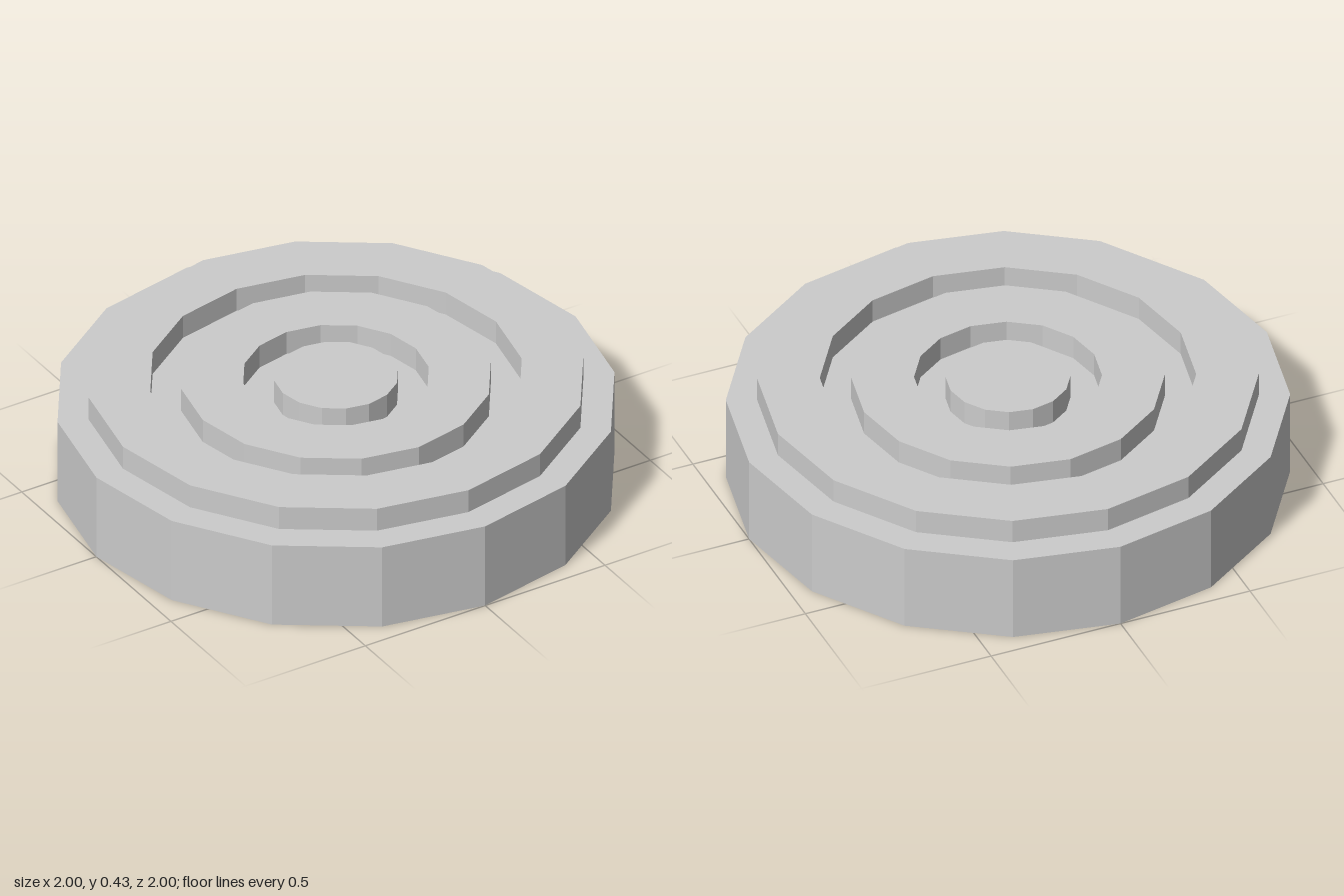
import * as THREE from 'three';

const SIDES = 16;
const BASE_TOP = 0.333;
const RING_TOP = 0.425;
const RING_HEIGHT = RING_TOP - BASE_TOP;

export function createModel() {
  const group = new THREE.Group();
  const material = new THREE.MeshStandardMaterial({ color: 0xcccccc, flatShading: true });

  const add = (name, geometry, y = 0) => {
    const mesh = new THREE.Mesh(geometry, material);
    mesh.name = name;
    mesh.position.y = y;
    group.add(mesh);
  };

  // Solid faceted drum
  add('base', new THREE.CylinderGeometry(1, 1, BASE_TOP, SIDES), BASE_TOP / 2);

  // Raised flat-topped rings, standing on the base
  const addRing = (name, inner, outer) => {
    const profile = [[outer, 0], [outer, RING_HEIGHT], [inner, RING_HEIGHT], [inner, 0]]
      .map(([r, y]) => new THREE.Vector2(r, y));
    add(name, new THREE.LatheGeometry(profile, SIDES), BASE_TOP);
  };
  addRing('outerRing', 0.667, 0.889);
  addRing('innerRing', 0.333, 0.556);

  // Raised disc in the middle
  add('centreDisc', new THREE.CylinderGeometry(0.222, 0.222, RING_HEIGHT, SIDES), BASE_TOP + RING_HEIGHT / 2);

  return group;
}
